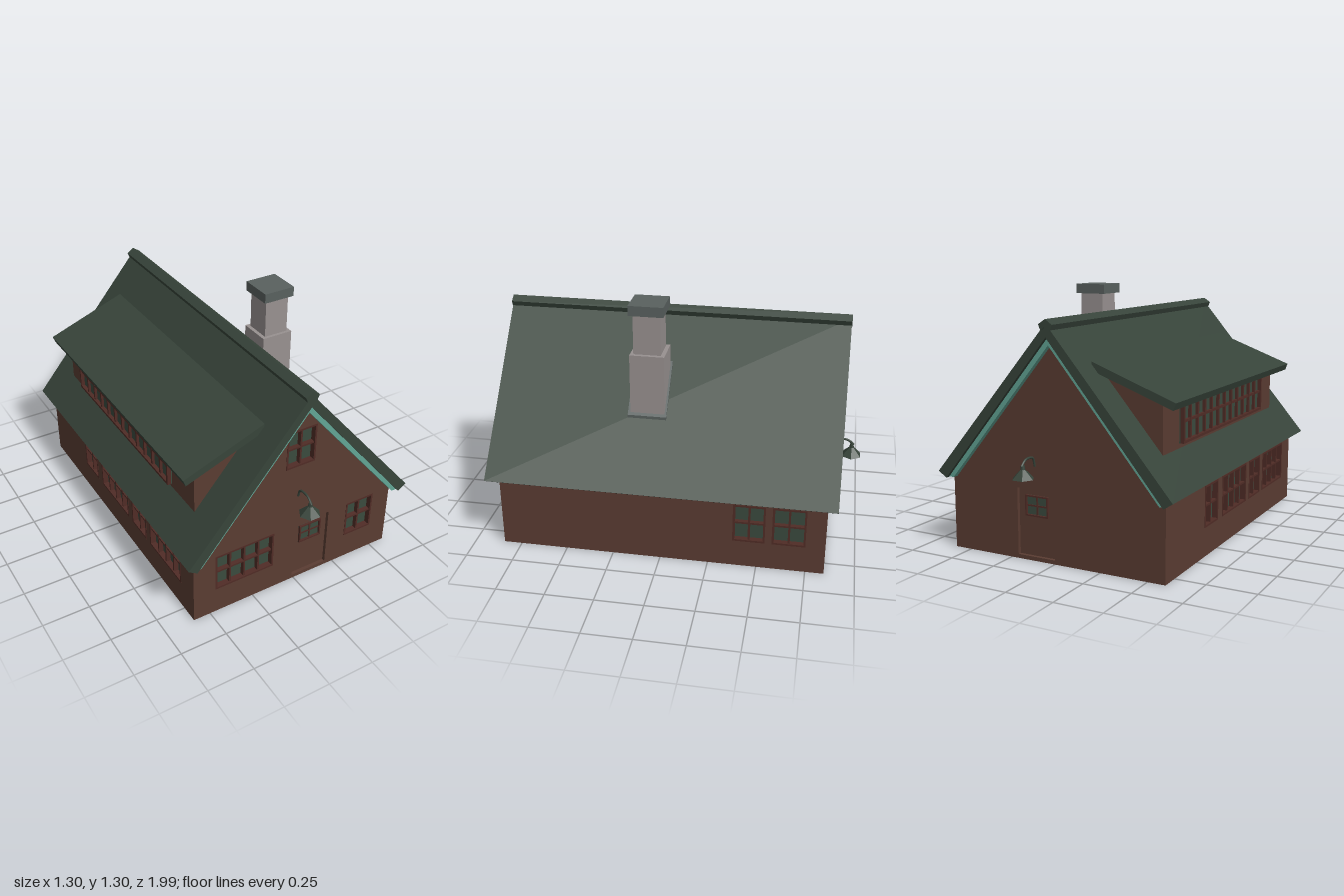
import * as THREE from 'three';

const mat = (name, color) => {
  const m = new THREE.MeshStandardMaterial({ color });
  m.name = name;
  return m;
};

export function createModel() {
  const brown = mat('wallBrown', 0x5a3c32);
  const frameRed = mat('frameBrown', 0x502c26);
  const green = mat('roofGreen', 0x37443a);
  const glassGreen = mat('glassGreen', 0x3a4a3e);
  const teal = mat('trimTeal', 0x62a595);
  const stone = mat('chimneyGrey', 0x989190);
  const capGrey = mat('capGrey', 0x59615f);

  const house = new THREE.Group();
  house.name = 'house';

  const add = (parent, name, geo, material, x = 0, y = 0, z = 0) => {
    const m = new THREE.Mesh(geo, material);
    m.name = name;
    m.position.set(x, y, z);
    parent.add(m);
    return m;
  };
  // Box given by its min and max corners
  const box = (parent, name, material, x0, x1, y0, y1, z0, z1) =>
    add(parent, name, new THREE.BoxGeometry(x1 - x0, y1 - y0, z1 - z0), material,
      (x0 + x1) / 2, (y0 + y1) / 2, (z0 + z1) / 2);
  const polygon = (pts) => new THREE.Shape(pts.map(([x, y]) => new THREE.Vector2(x, y)));
  // Profile in x, y swept from z0 to z1
  const prism = (parent, name, material, pts, z0, z1) =>
    add(parent, name, new THREE.ExtrudeGeometry(polygon(pts), { depth: z1 - z0, bevelEnabled: false }),
      material, 0, 0, z0);
  const mirrored = (pts) => pts.map(([x, y]) => [-x, y]);

  // Window facing +z: glass, outer frame and glazing bars
  const addWindow = (parent, x0, x1, y0, y1, cols, back, front, t = 0.01) => {
    const g = new THREE.Group();
    g.name = 'window';
    parent.add(g);
    box(g, 'glass', glassGreen, x0, x1, y0, y1, back - 0.006, back);
    for (let i = 0; i <= cols; i++) {
      const edge = i === 0 || i === cols;
      const x = x0 + t / 2 + ((x1 - x0 - t) * i) / cols;
      box(g, 'upright', frameRed, x - t / 2, x + t / 2, y0, y1, back, edge ? front : front - 0.006);
    }
    for (let j = 0; j <= 2; j++) {
      const y = y0 + t / 2 + ((y1 - y0 - t) * j) / 2;
      box(g, 'crossbar', frameRed, x0 + t, x1 - t, y - t / 2, y + t / 2, back, j === 1 ? front - 0.007 : front);
    }
  };

  // Recessed door with a small window
  const addDoor = (parent, x0) => {
    const g = new THREE.Group();
    g.name = 'door';
    parent.add(g);
    box(g, 'doorPanel', brown, x0, x0 + 0.21, 0.02, 0.357, -0.04, -0.018);
    addWindow(g, x0 + 0.04, x0 + 0.17, 0.22, 0.325, 2, -0.017, -0.006, 0.008);
  };

  // Wall with openings cut through, turned to its side of the house
  const addWall = (name, outline, openings, turn, distance) => {
    const g = new THREE.Group();
    g.name = name;
    g.rotation.y = turn;
    g.position.set(Math.sin(turn) * distance, 0, Math.cos(turn) * distance);
    house.add(g);
    const shape = polygon(outline);
    for (const { x0, x1, y0, y1 } of openings) {
      shape.holes.push(new THREE.Path([[x0, y0], [x0, y1], [x1, y1], [x1, y0]]
        .map(([x, y]) => new THREE.Vector2(x, y))));
    }
    add(g, 'wall', new THREE.ExtrudeGeometry(shape, { depth: 0.04, bevelEnabled: false }), brown, 0, 0, -0.04);
    for (const o of openings) {
      if (o.door) addDoor(g, o.x0);
      else addWindow(g, o.x0, o.x1, o.y0, o.y1, o.cols, -0.028, 0.002);
    }
  };
  const win = (x0, x1, cols, y0 = 0.148, y1 = 0.36) => ({ x0, x1, y0, y1, cols });
  const door = (x0) => ({ x0, x1: x0 + 0.21, y0: 0.02, y1: 0.357, door: true });

  const gable = [[-0.592, 0], [0.592, 0], [0.592, 0.38], [0, 1.1], [-0.592, 0.38]];
  const side = [[-0.845, 0], [0.845, 0], [0.845, 0.38], [-0.845, 0.38]];
  addWall('frontWall', gable, [
    win(-0.47, -0.133, 4), win(0.313, 0.484, 2), win(-0.082, 0.086, 2, 0.73, 0.945), door(-0.01),
  ], 0, 0.845);
  addWall('backWall', gable, [door(-0.21)], Math.PI, 0.845);
  addWall('leftWall', side, [win(0.375, 0.54, 2), win(0.575, 0.745, 2)], Math.PI / 2, 0.592);
  addWall('rightWall', side, [
    win(-0.41, -0.245, 2), win(-0.19, 0.14, 4), win(0.185, 0.35, 2), win(0.39, 0.72, 4),
  ], -Math.PI / 2, 0.592);
  box(house, 'floor', green, -0.59, 0.59, 0, 0.006, -0.843, 0.843);

  // Main roof slopes with trim beneath, both sides
  const slope = [[0, 1.165], [0, 1.1], [0.603, 0.37], [0.65, 0.4]];
  const trim = [[0, 1.1], [0, 1.062], [0.573, 0.372], [0.602, 0.372]];
  for (const flip of [(p) => p, mirrored]) {
    prism(house, 'roofSlope', green, flip(slope), -0.895, 0.905);
    prism(house, 'gableTrim', teal, flip(trim), -0.875, 0.89);
  }
  prism(house, 'ridgeCap', green,
    [[0, 1.185], [-0.037, 1.16], [-0.025, 1.13], [0, 1.15], [0.025, 1.13], [0.037, 1.16]], -0.897, 0.907);

  // Shed dormer
  const dormer = new THREE.Group();
  dormer.name = 'dormer';
  house.add(dormer);
  prism(dormer, 'dormerWalls', brown, [[-0.51, 0.54], [-0.17, 0.92], [-0.17, 0.955], [-0.51, 0.83]], -0.71, 0.715);
  prism(dormer, 'dormerRoof', green, [[-0.163, 0.985], [-0.597, 0.823], [-0.584, 0.788], [-0.163, 0.943]], -0.76, 0.77);
  const dormerWindow = new THREE.Group();
  dormerWindow.name = 'dormerWindow';
  dormerWindow.rotation.y = -Math.PI / 2;
  dormerWindow.position.x = -0.51;
  dormer.add(dormerWindow);
  addWindow(dormerWindow, -0.54, 0.5, 0.59, 0.8, 12, 0.008, 0.028, 0.013);

  // Chimney
  const chimney = new THREE.Group();
  chimney.name = 'chimney';
  house.add(chimney);
  box(chimney, 'chimneyBase', stone, 0.21, 0.385, 0.69, 1.04, 0.01, 0.187);
  box(chimney, 'chimneyShaft', stone, 0.23, 0.365, 1.04, 1.25, 0.03, 0.17);
  box(chimney, 'chimneyCap', capGrey, 0.21, 0.385, 1.248, 1.3, 0.012, 0.19);
  prism(chimney, 'flashing', capGrey, [[0.2, 0.9], [0.395, 0.67], [0.395, 0.715], [0.2, 0.945]], 0, 0.2);

  // Gooseneck lamps over both doors
  const addLamp = (name, x, y, z, turn) => {
    const g = new THREE.Group();
    g.name = name;
    g.position.set(x, y, z);
    g.rotation.y = turn;
    house.add(g);
    const neck = new THREE.CatmullRomCurve3([[0.06, -0.01], [0.085, 0.02], [0.09, 0.055], [0.082, 0.085], [0.04, 0.1]]
      .map(([a, b]) => new THREE.Vector3(0, a, 0.1 - b)));
    add(g, 'lampNeck', new THREE.TubeGeometry(neck, 12, 0.006, 6), green);
    const shade = new THREE.CylinderGeometry(0.012, 0.056, 0.045, 6, 1, false, Math.PI / 6);
    shade.deleteAttribute('normal');
    const flat = shade.toNonIndexed();
    flat.computeVertexNormals();
    add(g, 'lampShade', flat, green, 0, 0.0225, 0.1);
    add(g, 'lampCollar', new THREE.CylinderGeometry(0.009, 0.012, 0.022, 6), green, 0, 0.054, 0.1);
  };
  addLamp('frontLamp', 0, 0.505, 0.845, 0);
  addLamp('backLamp', 0.105, 0.435, -0.845, Math.PI);

  return house;
}
